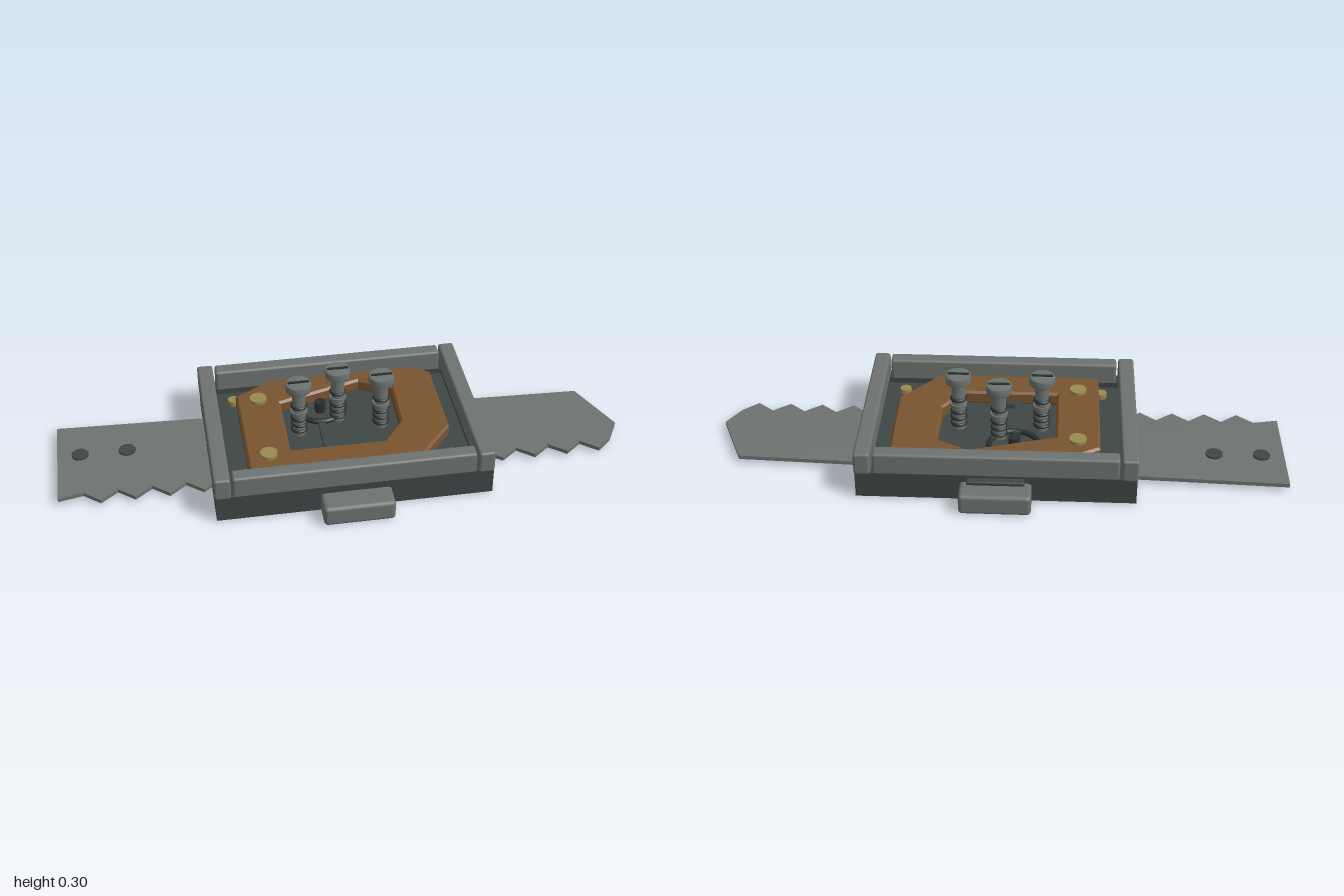
import * as THREE from 'three';
import { RoundedBoxGeometry } from 'three/addons/geometries/RoundedBoxGeometry.js';

const mat = (name, color, side = THREE.FrontSide) => {
  const m = new THREE.MeshStandardMaterial({ color, side });
  m.name = name;
  return m;
};

export function createModel() {
  const steel = mat('steel grey', 0x6d7370);
  const dark = mat('dark grey', 0x3e4646);
  const black = mat('near black', 0x2a3030);
  const wood = mat('brown wood', 0x79532f);
  const brass = mat('brass', 0x9a8a50);

  const model = new THREE.Group();
  model.name = 'bladedTray';

  const add = (name, geo, material, x = 0, y = 0, z = 0, parent = model) => {
    const mesh = new THREE.Mesh(geo, material);
    mesh.name = name;
    mesh.position.set(x, y, z);
    parent.add(mesh);
    return mesh;
  };
  // box given by its limits on each axis, with optional rounding
  const box = (name, material, [x0, x1], [y0, y1], [z0, z1], r = 0) => {
    const s = [x1 - x0, y1 - y0, z1 - z0];
    const geo = r ? new RoundedBoxGeometry(...s, 2, r) : new THREE.BoxGeometry(...s);
    return add(name, geo, material, (x0 + x1) / 2, (y0 + y1) / 2, (z0 + z1) / 2);
  };
  const disc = (name, material, x, y0, y1, z, r, parent = model, sides = 20) =>
    add(name, new THREE.CylinderGeometry(r, r, y1 - y0, sides), material, x, (y0 + y1) / 2, z, parent);
  // plan outlines are written as x, z
  const plan = (pts) => pts.map(([x, z]) => new THREE.Vector2(x, -z));
  const slab = (name, shape, height, y, material, bevel = 0) => {
    const geo = new THREE.ExtrudeGeometry(shape, {
      depth: height - 2 * bevel, bevelEnabled: bevel > 0, bevelSize: bevel,
      bevelThickness: bevel, bevelOffset: -bevel, bevelSegments: 1,
    });
    geo.rotateX(-Math.PI / 2);
    return add(name, geo, material, 0, y + bevel, 0);
  };

  // tray: floor block with a low rim
  box('trayFloor', dark, [-0.475, 0.475], [0.004, 0.08], [-0.33, 0.33]);
  for (const s of [-1, 1]) {
    box('trayEndRim', dark, [s * 0.45 - 0.025, s * 0.45 + 0.025], [0.08, 0.1], [-0.33, 0.33]);
    box('traySideRim', dark, [-0.425, 0.425], [0.08, 0.1], [s * 0.303 - 0.027, s * 0.303 + 0.027]);
    // raised steel rails
    box('endRail', steel, [s * 0.45 - 0.028, s * 0.45 + 0.028], [0.093, 0.175], [-0.333, 0.333], 0.009);
    box('sideRail', steel, [-0.415, 0.415], [0.093, 0.175], [s * 0.303 - 0.027, s * 0.303 + 0.027], 0.009);
  }

  // cross bar whose ends stick out as tabs, and the catch at the back
  box('crossBar', steel, [-0.122, 0.122], [0, 0.074], [-0.415, 0.415], 0.014);
  box('backCatch', dark, [-0.098, 0.098], [0.077, 0.092], [-0.355, -0.32], 0.005);

  // saw blade running through the tray
  const outline = [[-1, 0.16], [-1, -0.23], [0.91, -0.15], [1, 0.06], [0.955, 0.14]];
  for (let k = 15; k >= 0; k--) {
    const x = -0.855 + k * 0.117;
    outline.push([x, 0.19], [x - 0.058, 0.142]);
  }
  slab('sawBlade', new THREE.Shape(plan(outline)), 0.014, 0.015, steel);
  for (const x of [-0.92, -0.755]) disc('bladeRivet', dark, x, 0.012, 0.035, -0.065, 0.03);

  // wooden plate with a window
  const plate = new THREE.Shape(plan([
    [-0.35, 0.26], [0.23, 0.265], [0.37, 0.1], [0.37, -0.23],
    [0.295, -0.273], [-0.22, -0.267], [-0.353, -0.19],
  ]));
  plate.holes.push(new THREE.Path(plan([
    [-0.198, 0.145], [-0.198, -0.125], [0.1, -0.213], [0.21, -0.155], [0.205, 0.045], [0.13, 0.145],
  ])));
  slab('woodPlate', plate, 0.05, 0.08, wood, 0.008);

  // brass studs on the plate and in the floor corners
  for (const z of [-0.15, 0.165]) disc('plateStud', brass, -0.275, 0.12, 0.142, z, 0.03);
  for (const x of [-0.36, 0.355])
    for (const z of [-0.21, 0.21]) disc('floorStud', brass, x, 0.08, 0.1, z, 0.021, model, 8);

  // parts on the floor inside the window
  const ring = new THREE.TorusGeometry(0.088, 0.01, 8, 32).rotateX(Math.PI / 2);
  add('floorRing', ring, black, -0.055, 0.09, -0.13);
  disc('floorPeg', black, -0.055, 0.08, 0.12, -0.12, 0.02);
  box('leverArm', dark, [-0.075, -0.05], [0.08, 0.097], [-0.06, 0.14]);
  box('leverFoot', dark, [-0.05, 0.028], [0.08, 0.097], [0.118, 0.14]);

  // three plungers with collars, spring rings and slotted heads
  for (const [x, z] of [[-0.147, -0.005], [0, -0.065], [0.145, -0.005]]) {
    const pin = new THREE.Group();
    pin.name = 'plunger';
    pin.position.set(x, 0, z);
    model.add(pin);
    disc('shaft', steel, 0, 0.08, 0.272, 0, 0.024, pin);
    disc('collar', steel, 0, 0.172, 0.182, 0, 0.03, pin);
    for (const y of [0.1, 0.125, 0.15, 0.201]) {
      const coil = new THREE.TorusGeometry(0.024, 0.006, 8, 24).rotateX(Math.PI / 2);
      add('springRing', coil, black, 0, y, 0, pin);
    }
    const head = [[0, 0.265], [0.041, 0.265], [0.045, 0.269], [0.045, 0.293], [0.041, 0.298], [0, 0.298]];
    add('head', new THREE.LatheGeometry(head.map((p) => new THREE.Vector2(...p)), 24), steel, 0, 0, 0, pin);
    add('headSlot', new THREE.BoxGeometry(0.074, 0.006, 0.009), black, 0, 0.299, 0, pin);
  }

  return model;
}
